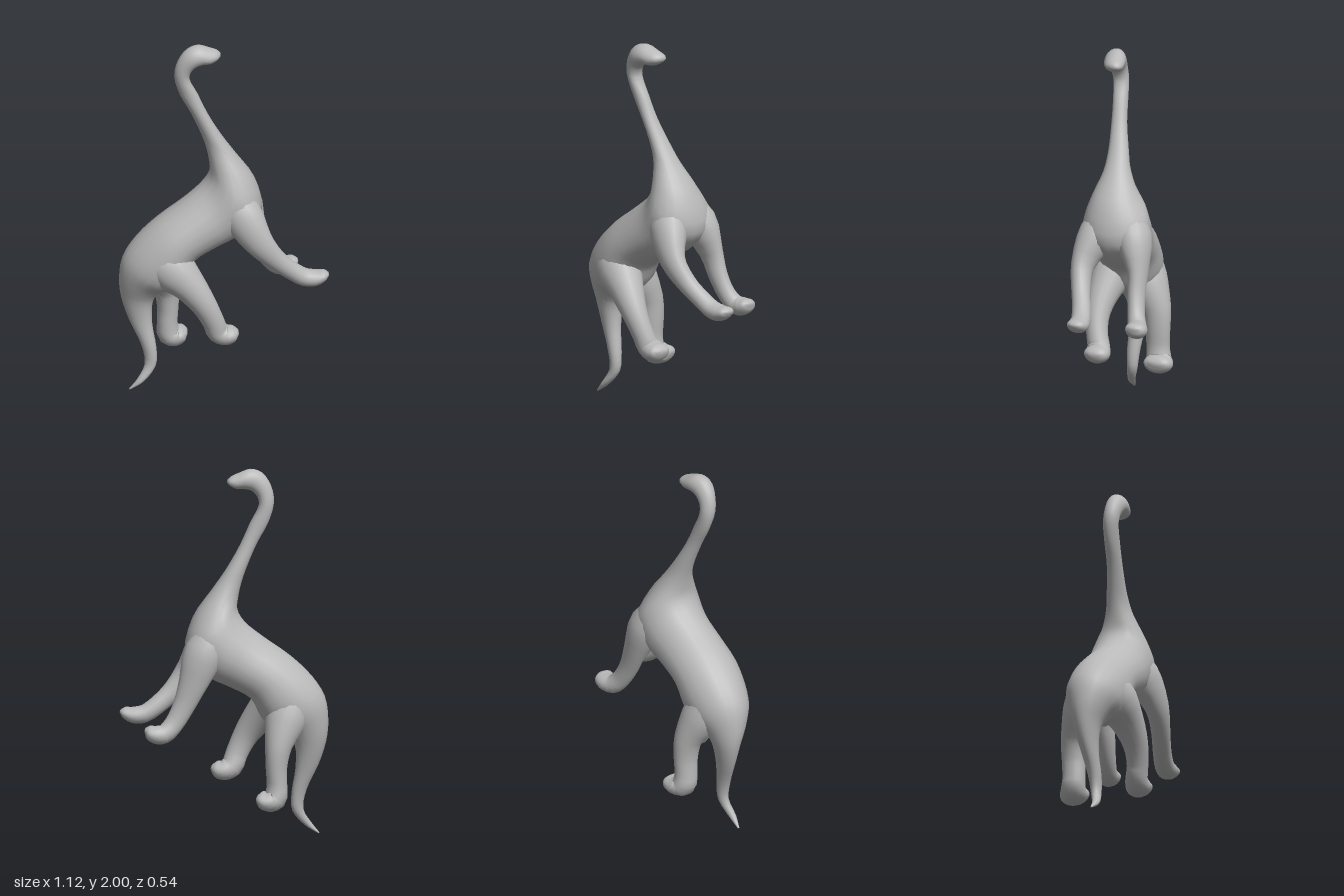
import * as THREE from 'three';

const V = (x, y, z) => new THREE.Vector3(x, y, z);
const SIDES = 20;

// Closed skin through a list of rings {c, u, v}; u x v points along the path.
// Taper narrows each ring towards its u side.
function skin(rings, taper) {
  const pos = [], idx = [];
  for (const { c, u, v } of rings) {
    for (let j = 0; j < SIDES; j++) {
      const a = (j / SIDES) * Math.PI * 2, cos = Math.cos(a);
      const p = c.clone().addScaledVector(u, cos).addScaledVector(v, Math.sin(a) * (1 - taper * cos));
      pos.push(p.x, p.y, p.z);
    }
  }
  const n = rings.length, tail = n * SIDES, head = tail + 1;
  pos.push(...rings[0].c.toArray(), ...rings[n - 1].c.toArray());
  for (let j = 0; j < SIDES; j++) {
    const k = (j + 1) % SIDES;
    for (let i = 0; i < n - 1; i++) {
      const a = i * SIDES + j, b = i * SIDES + k;
      idx.push(a, b, a + SIDES, b, b + SIDES, a + SIDES);
    }
    idx.push(tail, k, j, head, (n - 1) * SIDES + j, (n - 1) * SIDES + k);
  }
  const g = new THREE.BufferGeometry();
  g.setAttribute('position', new THREE.Float32BufferAttribute(pos, 3));
  g.setIndex(idx);
  g.computeVertexNormals();
  return g;
}

// Tail, trunk, neck and head: back point x y, belly point x y, centre z, half width
function trunkGeometry(stations) {
  const back = new THREE.CatmullRomCurve3(stations.map(s => V(s[0], s[1], 0)));
  const belly = new THREE.CatmullRomCurve3(stations.map(s => V(s[2], s[3], 0)));
  const side = new THREE.CatmullRomCurve3(stations.map((s, i) => V(s[4], s[5], i * 0.1)));
  const rings = [], steps = (stations.length - 1) * 3;
  for (let i = 0; i <= steps; i++) {
    const t = i / steps, b = back.getPoint(t), f = belly.getPoint(t), s = side.getPoint(t);
    const c = b.clone().add(f).multiplyScalar(0.5);
    c.z = s.x;
    rings.push({ c, u: b.sub(f).multiplyScalar(0.5), v: V(0, 0, s.y) });
  }
  return skin(rings, 0.1);
}

// Leg: points of x, y, z, half depth, half width from the root to the toe
function legGeometry(points) {
  const path = new THREE.CatmullRomCurve3(points.map(p => V(p[0], p[1], p[2])));
  const size = new THREE.CatmullRomCurve3(points.map((p, i) => V(p[3], p[4], i * 0.1)));
  const rings = [], steps = (points.length - 1) * 3;
  for (let i = 0; i <= steps; i++) {
    const t = i / steps, T = path.getTangent(t), s = size.getPoint(t);
    const v = V(0, 0, 1).addScaledVector(T, -T.z).normalize();
    const u = v.clone().cross(T).normalize();
    rings.push({ c: path.getPoint(t), u: u.multiplyScalar(s.x), v: v.multiplyScalar(s.y) });
  }
  return skin(rings, 0);
}

const TRUNK = [
  [-0.508, 0.006, -0.502, 0.0, 0.125, 0.005],
  [-0.465, 0.06, -0.43, 0.045, 0.12, 0.02],
  [-0.425, 0.14, -0.365, 0.13, 0.095, 0.028],
  [-0.445, 0.25, -0.362, 0.23, 0.09, 0.036],
  [-0.51, 0.39, -0.385, 0.37, 0.08, 0.047],
  [-0.552, 0.52, -0.38, 0.5, 0.075, 0.072],
  [-0.563, 0.63, -0.33, 0.57, 0.08, 0.11],
  [-0.545, 0.76, -0.26, 0.59, 0.08, 0.155],
  [-0.475, 0.87, -0.2, 0.65, 0.075, 0.175],
  [-0.36, 0.98, -0.15, 0.75, 0.065, 0.178],
  [-0.21, 1.09, -0.05, 0.81, 0.042, 0.175],
  [-0.115, 1.175, 0.08, 0.875, 0.015, 0.18],
  [-0.08, 1.24, 0.2, 1.0, 0.01, 0.178],
  [-0.083, 1.31, 0.165, 1.19, 0.025, 0.12],
  [-0.1, 1.39, 0.065, 1.34, 0.033, 0.072],
  [-0.13, 1.48, -0.01, 1.45, 0.045, 0.054],
  [-0.18, 1.6, -0.085, 1.585, 0.066, 0.042],
  [-0.238, 1.71, -0.14, 1.71, 0.08, 0.04],
  [-0.267, 1.82, -0.185, 1.805, 0.092, 0.043],
  [-0.25, 1.91, -0.175, 1.85, 0.098, 0.046],
  [-0.2, 1.98, -0.145, 1.88, 0.097, 0.055],
  [-0.14, 2.0, -0.11, 1.89, 0.087, 0.06],
  [-0.08, 1.98, -0.07, 1.892, 0.076, 0.056],
  [-0.04, 1.962, -0.035, 1.91, 0.066, 0.043],
  [-0.02, 1.945, -0.02, 1.925, 0.06, 0.016],
];

const LEGS = {
  leftFrontLeg: [
    [-0.01, 1.19, 0.03, 0.06, 0.06], [0.09, 1.03, 0.105, 0.11, 0.098],
    [0.19, 0.875, 0.15, 0.08, 0.062], [0.28, 0.765, 0.125, 0.057, 0.051],
    [0.36, 0.69, 0.09, 0.05, 0.05], [0.43, 0.642, 0.067, 0.049, 0.053],
    [0.49, 0.635, 0.058, 0.044, 0.057], [0.54, 0.65, 0.055, 0.028, 0.047],
    [0.56, 0.655, 0.055, 0.008, 0.02],
  ],
  rightFrontLeg: [
    [-0.01, 1.19, -0.02, 0.06, 0.06], [0.08, 1.03, -0.1, 0.11, 0.098],
    [0.14, 0.86, -0.148, 0.078, 0.056], [0.185, 0.745, -0.158, 0.06, 0.048],
    [0.238, 0.645, -0.178, 0.052, 0.046], [0.287, 0.594, -0.202, 0.052, 0.053],
    [0.335, 0.594, -0.216, 0.048, 0.06], [0.37, 0.612, -0.218, 0.032, 0.05],
    [0.388, 0.62, -0.22, 0.008, 0.02],
  ],
  leftHindLeg: [
    [-0.42, 0.86, 0.06, 0.08, 0.08], [-0.3, 0.74, 0.14, 0.13, 0.122],
    [-0.185, 0.63, 0.172, 0.092, 0.092], [-0.104, 0.52, 0.18, 0.069, 0.068],
    [-0.056, 0.42, 0.165, 0.06, 0.058], [-0.03, 0.35, 0.145, 0.06, 0.062],
    [0.015, 0.33, 0.135, 0.055, 0.07], [0.055, 0.34, 0.135, 0.04, 0.062],
    [0.077, 0.347, 0.135, 0.012, 0.03],
  ],
  rightHindLeg: [
    [-0.4, 0.84, 0.05, 0.08, 0.08], [-0.35, 0.67, -0.005, 0.115, 0.11],
    [-0.315, 0.52, -0.075, 0.074, 0.08], [-0.305, 0.4, -0.087, 0.058, 0.068],
    [-0.308, 0.3, -0.087, 0.056, 0.064], [-0.298, 0.235, -0.095, 0.064, 0.07],
    [-0.26, 0.223, -0.108, 0.057, 0.08], [-0.222, 0.236, -0.112, 0.039, 0.072],
    [-0.203, 0.242, -0.112, 0.012, 0.035],
  ],
};

export function createModel() {
  const grey = new THREE.MeshStandardMaterial({ color: 0xb9b9b9 });
  grey.name = 'grey skin';
  const model = new THREE.Group();
  model.name = 'longNeckedDinosaur';
  const add = (name, geometry) => {
    const mesh = new THREE.Mesh(geometry, grey);
    mesh.name = name;
    model.add(mesh);
  };
  add('bodyNeckAndTail', trunkGeometry(TRUNK));
  for (const [name, points] of Object.entries(LEGS)) add(name, legGeometry(points));
  return model;
}
